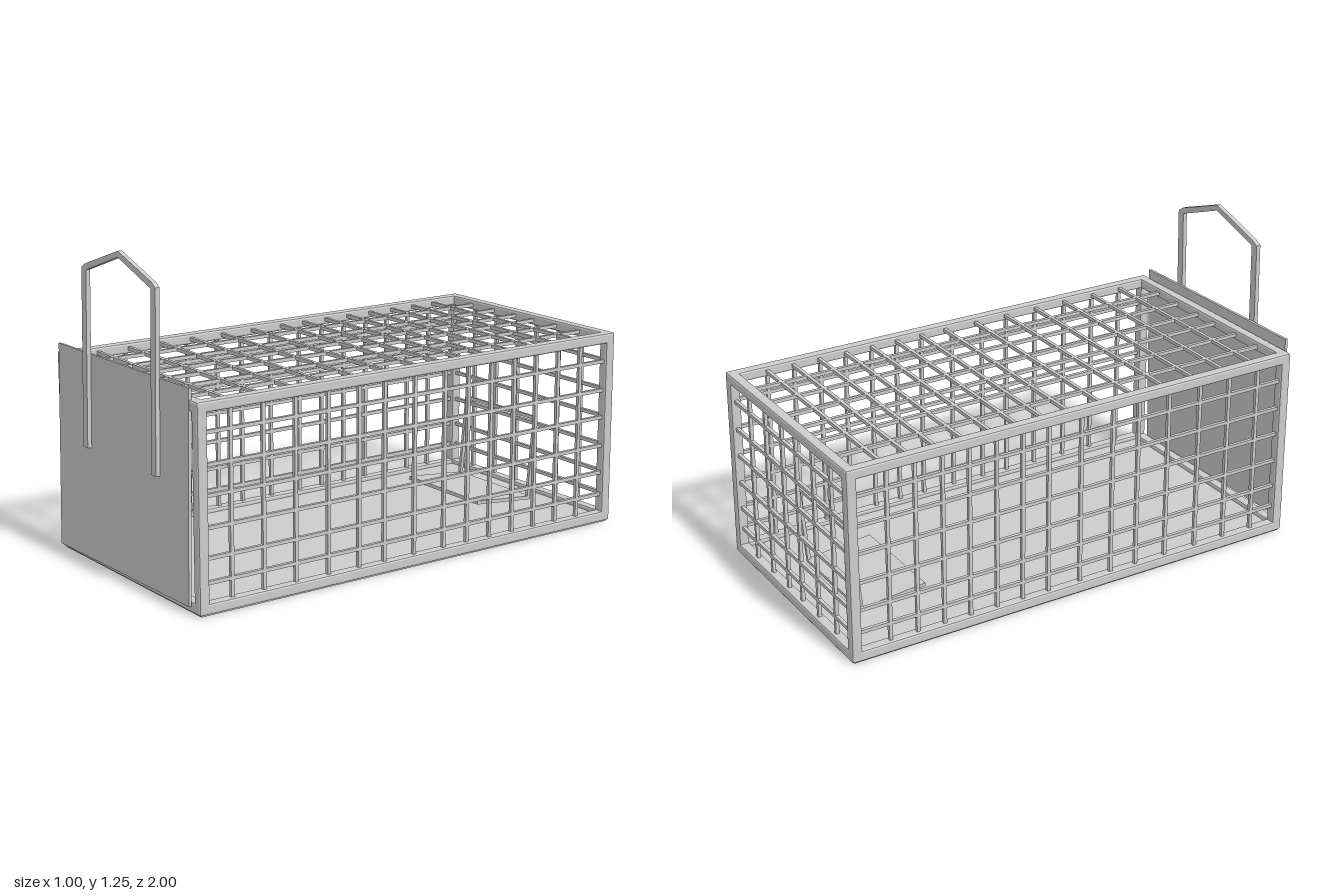
import * as THREE from 'three';
import { RoundedBoxGeometry } from 'three/addons/geometries/RoundedBoxGeometry.js';

const grey = new THREE.MeshStandardMaterial({ color: 0xcccccc, flatShading: true });

// Cage limits, frame bar size and wire size
const X = 0.502, Y0 = 0.005, Y1 = 0.785, Z0 = -0.997, Z1 = 0.962;
const BAR = 0.042, WIRE = 0.014;

// Wire positions along each axis
const wireX = [-0.338, -0.196, -0.058, 0.058, 0.196, 0.334];
const wireY = [0.118, 0.209, 0.321, 0.439, 0.551, 0.669];
const sideZ = [-0.83, -0.715, -0.602, -0.49, -0.375, -0.262, -0.148, -0.005, 0.137, 0.254, 0.393, 0.538, 0.677, 0.815];
const topZ = [-0.838, -0.727, -0.615, -0.499, -0.384, -0.271, -0.159, -0.048, 0.095, 0.239, 0.384, 0.525, 0.668, 0.806];

function addMesh(parent, name, geometry) {
  const mesh = new THREE.Mesh(geometry, grey);
  mesh.name = name;
  parent.add(mesh);
  return mesh;
}

// Box given by its minimum and maximum corners
function box(parent, name, a, b, radius = 0) {
  const s = b.map((v, i) => v - a[i]);
  const geo = radius ? new RoundedBoxGeometry(...s, 1, radius) : new THREE.BoxGeometry(...s);
  addMesh(parent, name, geo).position.set(...a.map((v, i) => (v + b[i]) / 2));
}

// Thin square wire between two points
function wire(parent, name, a, b) {
  const h = WIRE / 2;
  box(parent, name, a.map((v, i) => Math.min(v, b[i]) - h), b.map((v, i) => Math.max(v, a[i]) + h));
}

function group(parent, name) {
  const g = new THREE.Group();
  g.name = name;
  parent.add(g);
  return g;
}

export function createModel() {
  const model = new THREE.Group();
  model.name = 'cageTrap';

  // Frame: posts, long rails and cross rails
  const frame = group(model, 'frame');
  const r = 0.008;
  for (const x of [-X, X - BAR]) {
    for (const z of [Z0, Z1 - BAR]) box(frame, 'cornerPost', [x, Y0, z], [x + BAR, Y1, z + BAR], r);
    for (const y of [Y0, Y1 - BAR]) box(frame, 'longRail', [x, y, Z0], [x + BAR, y + BAR, Z1], r);
  }
  for (const z of [Z0, Z1 - BAR]) {
    for (const y of [Y0, Y1 - BAR]) box(frame, 'crossRail', [-X, y, z], [X, y + BAR, z + BAR], r);
  }

  // Solid floor
  box(model, 'floor', [-X + 0.01, 0, Z0 + 0.01], [X - 0.01, 0.03, Z1 - 0.01]);

  // Wire mesh on both sides, the top and the back
  const inset = BAR / 2;
  const xs = X - inset, yb = Y0 + inset, yt = Y1 - inset, zb = Z0 + inset, zf = Z1 - inset;
  for (const s of [-1, 1]) {
    const side = group(model, s > 0 ? 'leftMesh' : 'rightMesh');
    for (const z of sideZ) wire(side, 'uprightWire', [s * xs, yb, z], [s * xs, yt, z]);
    for (const y of wireY) wire(side, 'longWire', [s * xs, y, zb], [s * xs, y, zf]);
  }
  const top = group(model, 'topMesh');
  for (const z of topZ) wire(top, 'crossWire', [-xs, yt, z], [xs, yt, z]);
  for (const x of wireX) wire(top, 'longWire', [x, yt, zb], [x, yt, zf]);
  const back = group(model, 'backMesh');
  for (const x of wireX) wire(back, 'uprightWire', [x, yb, zb], [x, yt, zb]);
  for (const y of wireY) wire(back, 'crossWire', [-xs, y, zb], [xs, y, zb]);

  // Slightly skewed sliding door with its lifting handle
  const door = group(model, 'door');
  door.position.set(0, 0.43, 0.972);
  door.rotation.set(-0.02, 0.018, 0);
  box(door, 'doorPanel', [-0.456, -0.397, -0.005], [0.45, 0.396, 0.006]);
  const outline = [
    [-0.248, 0.468], [-0.248, 1.15], [-0.22, 1.167], [0.01, 1.245], [0.235, 1.167], [0.262, 1.15],
    [0.262, 0.468], [0.23, 0.468], [0.23, 1.143], [0.01, 1.222], [-0.216, 1.143], [-0.216, 0.468],
  ].map(([x, y]) => new THREE.Vector2(x, y - 0.43));
  const handleGeo = new THREE.ExtrudeGeometry(new THREE.Shape(outline), { depth: 0.018, bevelEnabled: false });
  addMesh(door, 'doorHandle', handleGeo).position.z = 0.005;

  // Tilted treadle plate with an upright trip loop behind it
  const treadle = group(model, 'treadle');
  const plate = addMesh(treadle, 'treadlePlate', new THREE.BoxGeometry(0.45, 0.014, 0.276));
  plate.position.set(-0.025, 0.068, -0.69);
  plate.rotation.x = -0.095;
  const loop = group(treadle, 'tripLoop');
  loop.position.set(-0.025, 0.055, -0.826);
  loop.rotation.x = -0.1;
  for (const x of [-0.218, 0.218]) wire(loop, 'loopLeg', [x, 0, 0], [x, 0.335, 0]);
  for (const y of [0, 0.335]) wire(loop, 'loopBar', [-0.218, y, 0], [0.218, y, 0]);

  return model;
}
